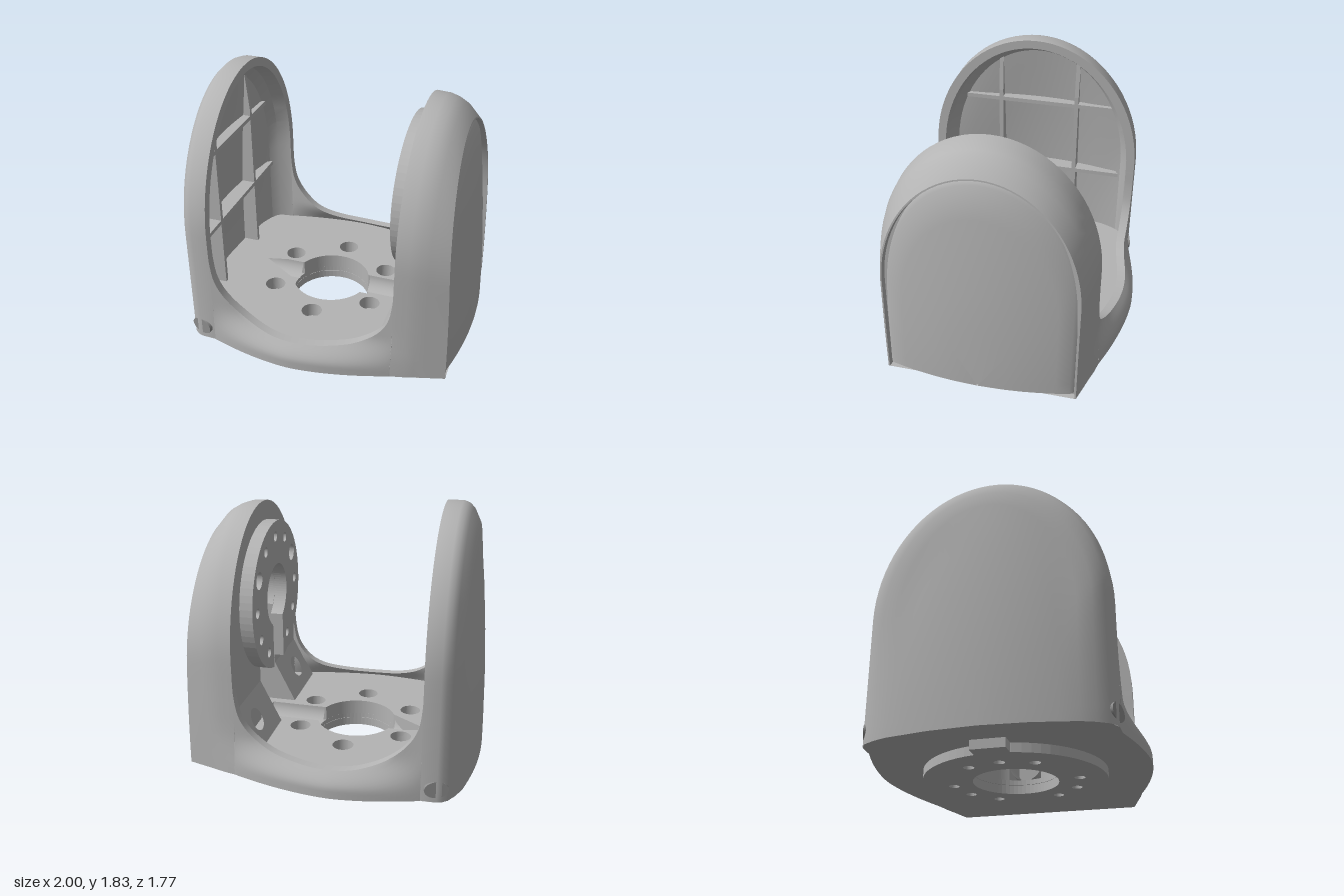
import * as THREE from 'three';
import { toCreasedNormals } from 'three/addons/utils/BufferGeometryUtils.js';

const gray = new THREE.MeshStandardMaterial({ color: 0xb4b4b4, side: THREE.DoubleSide });
gray.name = 'light gray';
const dark = new THREE.MeshStandardMaterial({ color: 0x909090 });
dark.name = 'hole gray';

const BASE = 0.06, FLOOR = 0.2, CX = -0.09, DISC_Y = 1.105;
const rad = THREE.MathUtils.degToRad;

// smooth surface through rows of points
function loft(rows, crease = 0.55) {
  const n = rows[0].length, index = [];
  for (let i = 0; i < rows.length - 1; i++)
    for (let j = 0; j < n - 1; j++) {
      const a = i * n + j, b = a + n;
      index.push(a, b, a + 1, a + 1, b, b + 1);
    }
  const geo = new THREE.BufferGeometry().setFromPoints(rows.flat());
  geo.setIndex(index);
  return toCreasedNormals(geo, crease);
}

// arch outline as [z, y] pairs: straight sides and an elliptical top
function arch(w, h, y0 = BASE) {
  const ry = h * 0.508, yc = h - ry, pts = [];
  for (let i = 0; i < 8; i++) pts.push([w, y0 + (yc - y0) * i / 8]);
  for (let i = 0; i <= 40; i++) {
    const a = Math.PI * i / 40;
    pts.push([w * Math.cos(a), yc + ry * Math.sin(a)]);
  }
  for (let i = 7; i >= 0; i--) pts.push([-w, y0 + (yc - y0) * i / 8]);
  return pts;
}
const scaled = (pts, s, y0) => pts.map(([z, y]) => [z * s, y0 + (y - y0) * s]);
const place = (pts, x) =>
  pts.map(([z, y]) => new THREE.Vector3(typeof x === 'number' ? x : x(y, z), y, z));

// base skirt: half width at the bottom, blending into the walls higher up
const low = (y) => 1 - THREE.MathUtils.smoothstep(y, 0.12, 0.35);
const bulge = (x) => x < -0.1
  ? 0.885 - 0.11 * Math.pow((-0.1 - x) / 0.58, 1.7)
  : 0.885 - 0.14 * Math.pow((x + 0.1) / 0.68, 1.7);
const skirtZ = (x, y) => {
  const b = 0.77 - 0.05 * (x + 0.68) / 1.26;
  return b + (bulge(x) - b) * low(y);
};

function circle(x, y, r) {
  const p = new THREE.Path();
  p.absarc(x, y, r, 0, Math.PI * 2, true);
  return p;
}
const extrude = (shape, depth) =>
  new THREE.ExtrudeGeometry(shape, { depth, bevelEnabled: false, curveSegments: 32 });
const alongX = (shape, x, depth) => extrude(shape, depth).rotateY(Math.PI / 2).translate(x, 0, 0);
const alongY = (shape, y, depth) => extrude(shape, depth).rotateX(-Math.PI / 2).translate(0, y, 0);

export function createModel() {
  const model = new THREE.Group();
  const add = (name, geo, mat = gray) => {
    const m = new THREE.Mesh(geo, mat);
    m.name = name;
    model.add(m);
    return m;
  };

  // hollow left wall, from the inner back over the rim to the bulging outside
  const outX = (y, z) => -(1 - 0.07 * (z / 0.57) ** 2 - 0.09 * Math.pow(y / 1.6, 2.2));
  const inX = (y, z) => outX(y, z) + 0.06;
  const steps = [0.01, 0.2, 0.4, 0.6, 0.8, 1];
  const inner = arch(0.54, 1.56), outer = arch(0.57, 1.6);
  add('hollowWall', loft([
    ...steps.map((s) => place(scaled(inner, s, BASE), inX)),
    place(arch(0.65, 1.69), -0.84), place(arch(0.695, 1.755), -0.78), place(arch(0.71, 1.77), -0.68),
    place(arch(0.77, 1.83), -0.68), place(arch(0.77, 1.83), -0.785),
    place(arch(0.757, 1.817), -0.82), place(arch(0.73, 1.785), -0.853), place(arch(0.66, 1.7), -0.895),
    ...steps.slice().reverse().map((s) => place(scaled(outer, s, BASE), outX)),
  ]));

  // stiffening ribs inside the hollow wall
  const upright = new THREE.Shape([[-0.95, 0.15], [-0.81, 0.15], [-0.81, 1.35], [-0.84, 1.66], [-0.87, 1.6], [-0.92, 1.2]]
    .map((p) => new THREE.Vector2(...p)));
  for (const z of [-0.29, 0.29]) add('verticalRib', extrude(upright, 0.03).translate(0, 0, z - 0.015));
  for (const [y, back, half] of [[0.72, -0.94, 0.64], [1.28, -0.91, 0.56]]) {
    const s = new THREE.Shape([[back, -0.25], [-0.87, -half + 0.04], [-0.81, -half], [-0.81, half], [-0.87, half - 0.04], [back, 0.25]]
      .map((p) => new THREE.Vector2(...p)));
    add('horizontalRib', alongY(s, y - 0.015, 0.03));
  }

  // right wall shell with a stepped seat for the cover
  const flare = (pts, k) => pts.map(([z, y]) => [z + Math.sign(z) * k * low(y), y]);
  const edgeX = (y) => 0.935 - 0.075 * (y / 1.62) ** 2;
  add('motorWall', loft([
    place(arch(0.68, 1.71), 0.58), place(flare(arch(0.72, 1.765), 0.025), 0.58),
    place(flare(arch(0.715, 1.76), 0.01), 0.67), place(arch(0.705, 1.74), 0.73),
    place(arch(0.69, 1.705), 0.79), place(arch(0.65, 1.62), edgeX),
    place(arch(0.64, 1.61), edgeX), place(arch(0.635, 1.6), (y) => edgeX(y) - 0.04),
    place(scaled(arch(0.635, 1.6), 0.01, BASE), 0.85),
  ], 0.5));

  // bulged outer cover with a flat bottom edge
  const coverRing = (w, h) => {
    const pts = arch(w, h, 0.09);
    for (let i = 1; i <= 16; i++) pts.push([-w + 2 * w * i / 16, 0.09]);
    return pts;
  };
  const coverX = (y, z) => 1 - 0.07 * (z / 0.6) ** 2 - 0.14 * Math.pow(y / 1.6, 1.7);
  add('sideCover', loft([
    place(coverRing(0.63, 1.6), 0.82), place(coverRing(0.63, 1.6), (y, z) => coverX(y, z) - 0.012),
    ...[1, 0.85, 0.7, 0.5, 0.3, 0.01].map((s) => place(scaled(coverRing(0.605, 1.58), s, s === 1 ? 0.09 : 0.09 + 0.001), coverX)),
  ], 0.6));

  // inner face of the right wall with its keyhole channel
  const face = new THREE.Shape(arch(0.7, 1.73).map((p) => new THREE.Vector2(...p)));
  const key = new THREE.Path();
  const ka = Math.asin(0.17 / 0.22);
  key.moveTo(-0.17, FLOOR);
  key.lineTo(0.17, FLOOR);
  key.absarc(0, DISC_Y, 0.22, -Math.PI / 2 + ka, Math.PI * 1.5 - ka, false);
  key.closePath();
  face.holes.push(key);
  add('innerFace', alongX(face, 0.581, 0.12));
  add('channelBack', new THREE.BoxGeometry(0.02, 1.3, 0.5).translate(0.71, 0.75, 0));

  // round mounting flange with an open slot and a ring of holes
  const flange = new THREE.Shape();
  const fo = Math.asin(0.11 / 0.525), fi = Math.asin(0.11 / 0.22), down = -Math.PI / 2;
  flange.absarc(0, DISC_Y, 0.525, down + fo, down + 2 * Math.PI - fo, false);
  flange.absarc(0, DISC_Y, 0.22, down + 2 * Math.PI - fi, down + fi, true);
  flange.closePath();
  for (const [deg, r] of [[0, 0.035], [30, 0.06], [60, 0.035], [90, 0.035], [120, 0.035], [150, 0.06],
    [180, 0.035], [210, 0.035], [240, 0.035], [300, 0.035], [330, 0.035]])
    flange.holes.push(circle(0.42 * Math.cos(rad(deg)), DISC_Y + 0.42 * Math.sin(rad(deg)), r));
  add('mountingFlange', alongX(flange, 0.49, 0.09));

  // sloped gussets with access holes between floor and right wall
  const slope = Math.hypot(0.15, 0.3);
  for (const side of [-1, 1]) {
    const s = new THREE.Shape([[0, 0.17], [slope, 0.17], [slope, 0.68], [0, 0.68]]
      .map(([u, z]) => new THREE.Vector2(u, z * side)));
    s.holes.push(circle(slope / 2, 0.47 * side, 0.08));
    const basis = new THREE.Matrix4().makeBasis(new THREE.Vector3(0.15, 0.3, 0).divideScalar(slope),
      new THREE.Vector3(0, 0, 1), new THREE.Vector3(0.3, -0.15, 0).divideScalar(slope));
    add('gusset', new THREE.ShapeGeometry(s, 24).applyMatrix4(basis).translate(0.43, FLOOR, 0));
    const tri = new THREE.Shape([[0.43, FLOOR], [0.59, FLOOR], [0.59, FLOOR + 0.3], [0.58, FLOOR + 0.3]]
      .map((p) => new THREE.Vector2(...p)));
    add('gussetSide', new THREE.ShapeGeometry(tri).translate(0, 0, 0.17 * side));
  }

  // front and back skirts under a U-shaped cut
  const cut = new THREE.CatmullRomCurve3([[-0.68, 0.85], [-0.676, 0.7], [-0.65, 0.55], [-0.58, 0.43], [-0.45, 0.315],
    [-0.28, 0.25], [-0.08, 0.23], [0.15, 0.243], [0.34, 0.285], [0.46, 0.36], [0.54, 0.47], [0.573, 0.62], [0.58, 0.85]]
    .map(([x, y]) => new THREE.Vector3(x, y, 0))).getSpacedPoints(64);
  for (const side of [-1, 1]) {
    const rows = cut.map(({ x, y: top }) => {
      const row = [];
      for (let i = 0; i <= 10; i++) {
        const y = BASE + (top - BASE) * i / 10;
        row.push(new THREE.Vector3(x, y, side * skirtZ(x, y)));
      }
      for (let i = 10; i >= 0; i--) {
        const y = 0.1 + (top - 0.1) * i / 10;
        row.push(new THREE.Vector3(x, y, side * (skirtZ(x, y) - 0.06)));
      }
      return row;
    });
    add(side > 0 ? 'frontSkirt' : 'backSkirt', loft(rows));
  }

  // footprint outline, mirrored front to back
  const half = [[-1, 0], [-0.98, 0.3], [-0.93, 0.57], [-0.895, 0.66], [-0.853, 0.73], [-0.785, 0.77]];
  for (let i = 0; i <= 24; i++) {
    const x = -0.68 + 1.26 * i / 24;
    half.push([x, bulge(x)]);
  }
  half.push([0.67, 0.725], [0.79, 0.69], [0.935, 0.65]);
  const outline = [...half, ...half.slice(1).reverse().map(([x, z]) => [x, -z])];
  const footprint = (k) => new THREE.Shape(outline.map(([x, z]) => new THREE.Vector2(x * k, z * k)));
  const bolts = [30, 90, 150, 210, 270, 330].map((d) => [CX + 0.42 * Math.cos(rad(d)), 0.42 * Math.sin(rad(d))]);
  const through = [...bolts, [CX - 0.42, 0]];
  const drill = (shape) => {
    shape.holes.push(circle(CX, 0, 0.28), ...through.map(([x, z]) => circle(x, z, 0.037)));
    return shape;
  };
  add('underside', new THREE.ShapeGeometry(drill(footprint(1)), 32).rotateX(Math.PI / 2).translate(0, BASE, 0));
  add('lowerFloor', alongY(drill(footprint(0.94)), 0.062, 0.034));

  // upper floor with counterbores and a cross groove through the centre bore
  const floor = footprint(0.94);
  const groove = new THREE.Path();
  const ga = Math.asin(0.11 / 0.28);
  groove.moveTo(-0.69, -0.11);
  groove.absarc(CX, 0, 0.28, Math.PI + ga, 2 * Math.PI - ga, false);
  groove.lineTo(0.6, -0.11);
  groove.lineTo(0.6, 0.11);
  groove.absarc(CX, 0, 0.28, ga, Math.PI - ga, false);
  groove.lineTo(-0.69, 0.11);
  groove.closePath();
  floor.holes.push(groove, ...bolts.map(([x, z]) => circle(x, z, 0.072)));
  add('floor', alongY(floor, 0.096, FLOOR - 0.096));

  // rounded flanks of the groove
  for (const [x0, x1] of [[-0.69, -0.36], [0.18, 0.6]])
    for (const side of [-1, 1]) {
      const rows = [x0, x1].map((x) => Array.from({ length: 9 }, (_, i) => {
        const a = rad(69) * i / 8;
        return new THREE.Vector3(x, FLOOR - 0.11 * Math.sin(a), side * 0.11 * Math.cos(a));
      }));
      add('grooveFlank', loft(rows));
    }

  // round foot with a locating tab
  const foot = new THREE.Shape();
  foot.absarc(CX, 0, 0.6, 0, Math.PI * 2, false);
  foot.holes.push(circle(CX, 0, 0.28));
  for (const d of [30, 60, 90, 150, 180, 210, 270, 300, 330])
    foot.holes.push(circle(CX + 0.42 * Math.cos(rad(d)), 0.42 * Math.sin(rad(d)), 0.035));
  add('foot', alongY(foot, 0, BASE));
  add('footTab', new THREE.BoxGeometry(0.16, BASE, 0.22).translate(-0.7, BASE / 2, 0));

  // screw openings at the outer corners of the hollow wall
  for (const side of [-1, 1]) {
    const hole = add('cornerScrewHole', new THREE.CylinderGeometry(0.08, 0.08, 0.05, 32).rotateX(Math.PI / 2)
      .scale(1, 0.72, 1), dark);
    hole.position.set(-0.775, 0.15, side * 0.745);
    hole.rotation.y = side > 0 ? -0.3 : Math.PI + 0.3;
  }
  return model;
}
